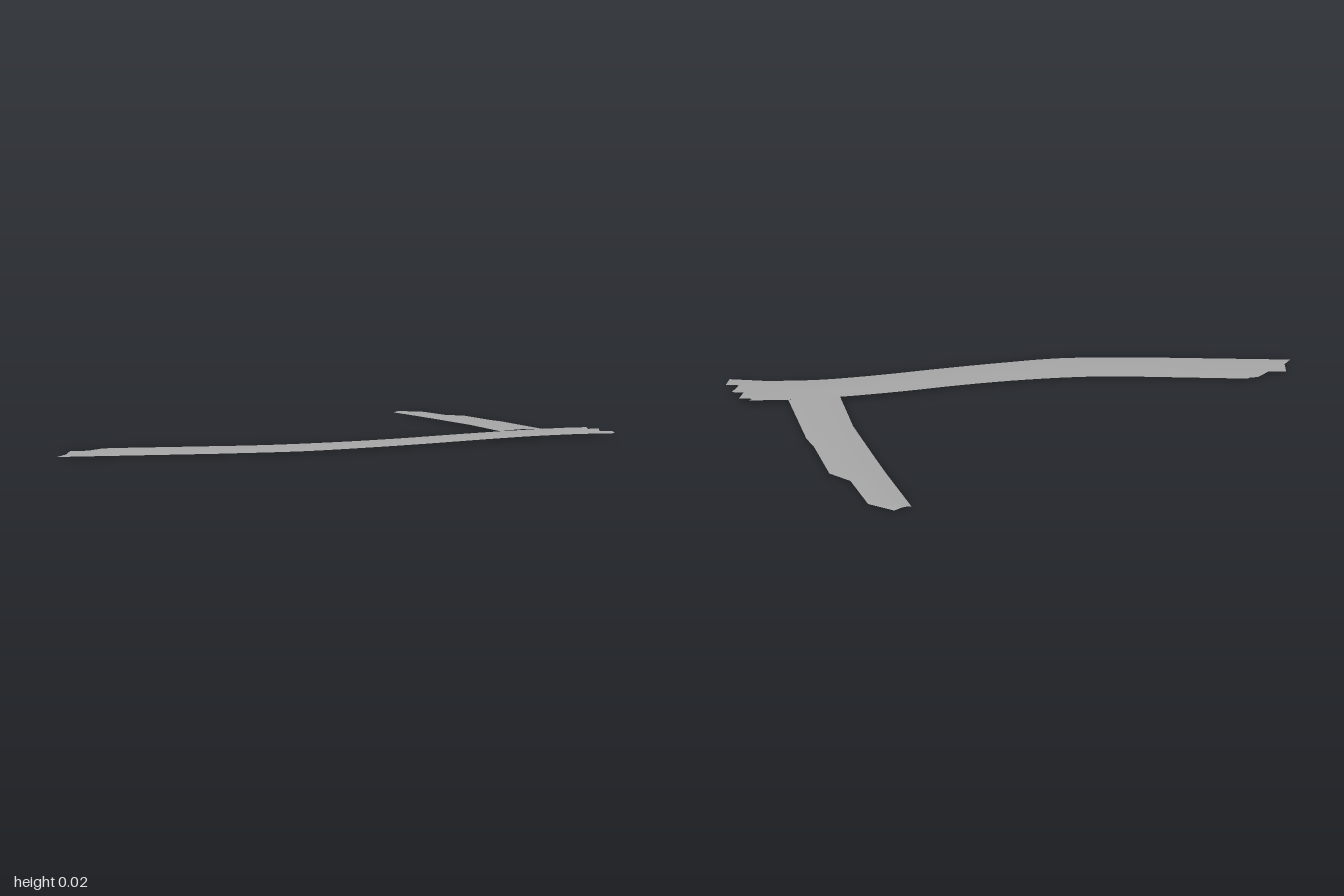
import * as THREE from 'three';

const LANES = 7; // strips across each road

// Point across a polyline, v from 0 to 1
function across(points, v) {
  const s = v * (points.length - 1);
  const i = Math.min(Math.floor(s), points.length - 2);
  const f = s - i;
  return [0, 1].map((k) => points[i][k] * (1 - f) + points[i + 1][k] * f);
}

// Thin sheet lofted through rows of [x, z] points, left edge to right edge
function roadSheet(name, rows, height, crown, material) {
  const positions = [];
  const index = [];
  rows.forEach((row, i) => {
    for (let j = 0; j <= LANES; j++) {
      const v = j / LANES;
      const [x, z] = across(row, v);
      positions.push(x, height(x, z) + crown * Math.sin(Math.PI * v), z);
      if (i < rows.length - 1 && j < LANES) {
        const a = i * (LANES + 1) + j;
        const c = a + LANES + 1;
        index.push(a, a + 1, c, a + 1, c + 1, c);
      }
    }
  });
  const geometry = new THREE.BufferGeometry();
  geometry.setAttribute('position', new THREE.Float32BufferAttribute(positions, 3));
  geometry.setIndex(index);
  geometry.computeVertexNormals();
  const mesh = new THREE.Mesh(geometry, material);
  mesh.name = name;
  return mesh;
}

// Smooth road edge
function edge(points, count) {
  const curve = new THREE.CatmullRomCurve3(points.map(([x, z]) => new THREE.Vector3(x, 0, z)));
  return Array.from({ length: count + 1 }, (_, i) => {
    const p = curve.getPoint(i / count);
    return [p.x, p.z];
  });
}

export function createModel() {
  const group = new THREE.Group();
  group.name = 'roadJunction';
  const asphalt = new THREE.MeshStandardMaterial({ color: 0xa6a6a6, side: THREE.DoubleSide });
  asphalt.name = 'asphalt grey';

  // Main road: smooth curving sides, broken ends
  const frontEnd = [[-0.575, 0.72], [-0.573, 0.73], [-0.59, 0.76], [-0.58, 0.83],
    [-0.62, 0.89], [-0.57, 0.935], [-0.56, 0.96], [-0.55, 0.99]];
  const backEnd = [[0.4, -0.975], [0.405, -0.96], [0.435, -1], [0.47, -0.965],
    [0.5, -1], [0.54, -0.95], [0.575, -0.99], [0.615, -0.955]];
  const left = edge([[-0.405, 0.505], [-0.21, 0.25], [-0.065, 0], [0.045, -0.235],
    [0.135, -0.46], [0.23, -0.675], [0.32, -0.85]], 24);
  const right = edge([[-0.395, 0.79], [-0.18, 0.515], [0.01, 0.24], [0.125, 0],
    [0.225, -0.235], [0.31, -0.45], [0.41, -0.67], [0.515, -0.84]].filter((_, i) => i !== 0), 24);
  const middle = left.map((p, i) => [p, right[i]]);
  const mainHeight = (x, z) => 0.01 - 0.005 * z + 0.004 * z * z * (z < 0 ? 1.8 : 0);
  group.add(roadSheet('mainRoad', [frontEnd, ...middle, backEnd], mainHeight, 0.002, asphalt));

  // Side road: ragged far edge, smooth near edge, meeting the main road
  const far = [[-0.575, -0.925], [-0.49, -0.975], [-0.33, -0.95], [-0.245, -0.985],
    [-0.05, -0.94], [0.015, -0.935], [0.32, -0.85]];
  const near = [[-0.585, -0.865], [-0.5, -0.85], [-0.36, -0.825], [-0.25, -0.803],
    [-0.08, -0.767], [0, -0.75], [0.23, -0.675]];
  const sideHeight = (x) => 0.001 + 0.017 * Math.max(0, (x + 0.585) / 0.88);
  group.add(roadSheet('sideRoad', far.map((p, i) => [p, near[i]]), sideHeight, 0.004, asphalt));

  return group;
}
